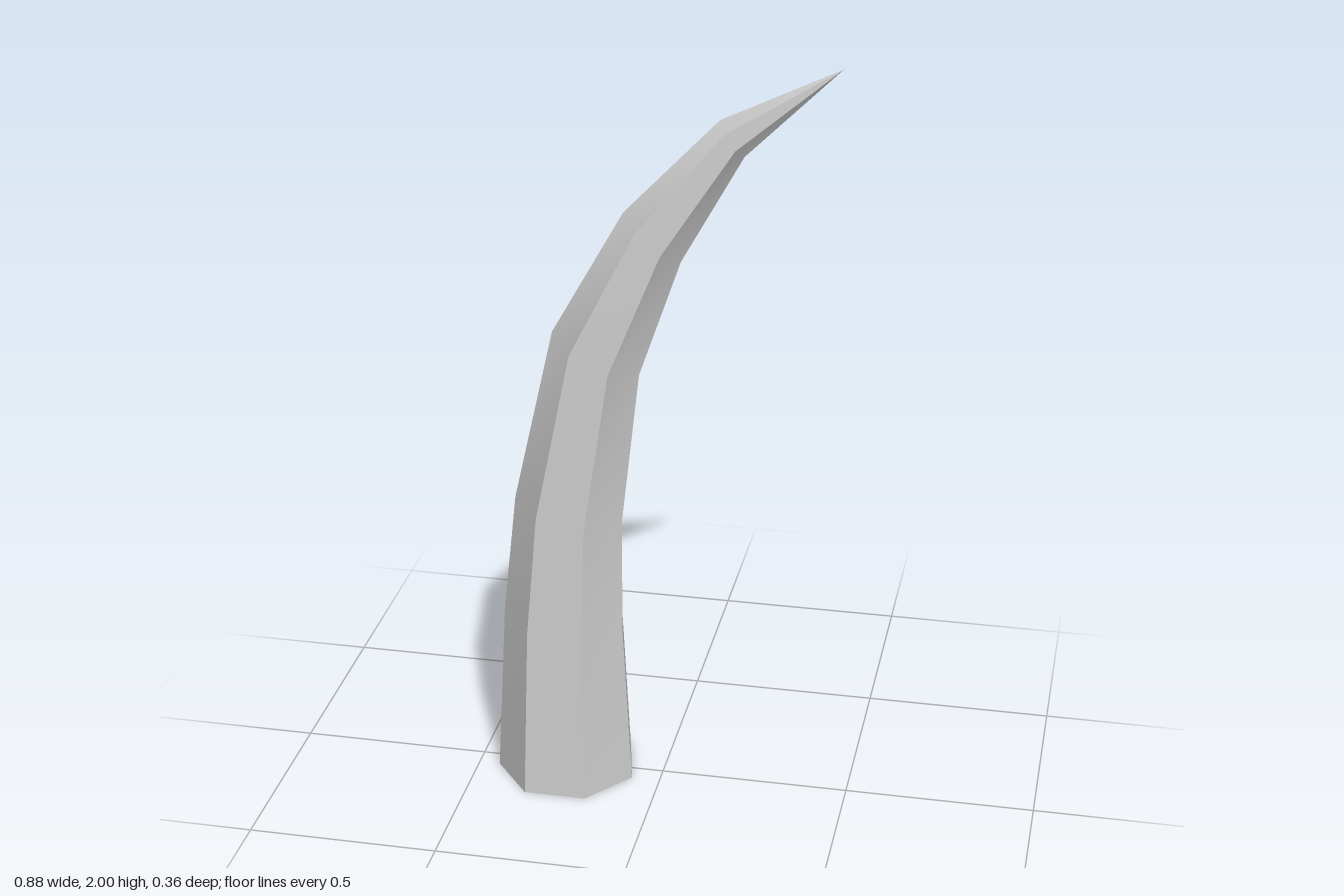
import * as THREE from 'three';
import { toCreasedNormals } from 'three/addons/utils/BufferGeometryUtils.js';

const SIDES = 7;
const CENTRE_Z = 0.008;

// Rings up the spine: x, y, radius, lean towards +x
const RINGS = [
  [-0.26, 0, 0.189, 0],
  [-0.26, 0.465, 0.164, 0.08],
  [-0.242, 0.79, 0.147, 0.14],
  [-0.167, 1.23, 0.126, 0.42],
  [-0.022, 1.55, 0.0965, 0.69],
  [0.175, 1.815, 0.0555, 0.97],
];

function ringPoint([x, y, radius, lean], k) {
  const a = (k / SIDES) * Math.PI * 2;
  const across = radius * Math.sin(a);
  return [x + across * Math.cos(lean), y - across * Math.sin(lean), CENTRE_Z - radius * Math.cos(a)];
}

function hornGeometry() {
  const positions = [];
  const triangle = (a, b, c) => positions.push(...a, ...b, ...c);
  const baseCentre = [RINGS[0][0], 0, CENTRE_Z];
  const tip = [0.44, 2, CENTRE_Z];
  const last = RINGS[RINGS.length - 1];

  for (let k = 0; k < SIDES; k++) {
    // Flat base
    triangle(baseCentre, ringPoint(RINGS[0], k), ringPoint(RINGS[0], k + 1));
    // Tapering sides
    for (let i = 0; i < RINGS.length - 1; i++) {
      const a = ringPoint(RINGS[i], k);
      const b = ringPoint(RINGS[i], k + 1);
      const c = ringPoint(RINGS[i + 1], k);
      const d = ringPoint(RINGS[i + 1], k + 1);
      triangle(b, a, c);
      triangle(b, c, d);
    }
    // Pointed end
    triangle(ringPoint(last, k + 1), ringPoint(last, k), tip);
  }

  const geometry = new THREE.BufferGeometry();
  geometry.setAttribute('position', new THREE.Float32BufferAttribute(positions, 3));
  // Smooth along the length, sharp between the seven sides
  return toCreasedNormals(geometry, THREE.MathUtils.degToRad(32));
}

export function createModel() {
  const group = new THREE.Group();
  const horn = new THREE.Mesh(hornGeometry(), new THREE.MeshStandardMaterial({ color: 0xcccccc }));
  horn.name = 'horn';
  group.add(horn);
  return group;
}
